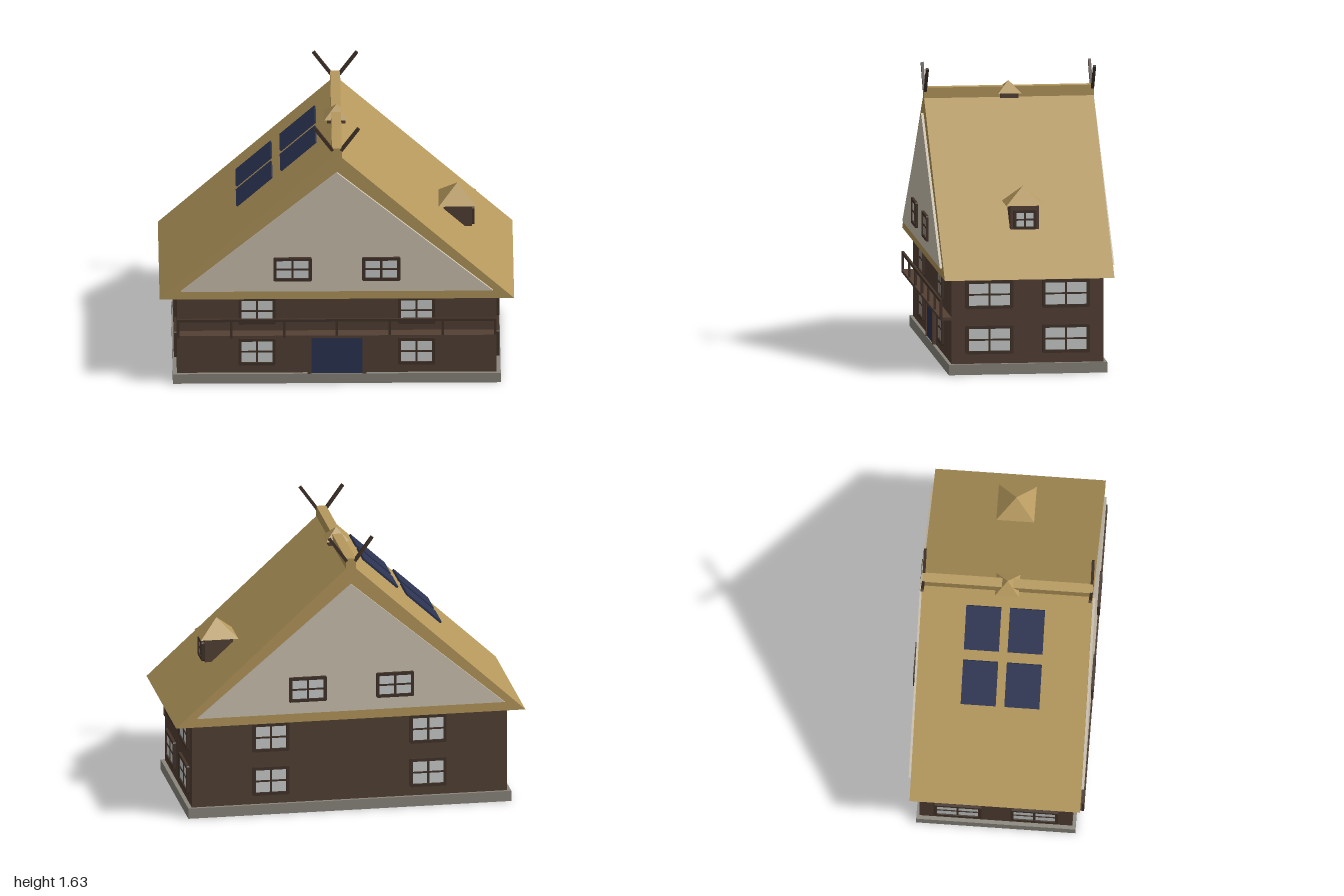
import * as THREE from 'three';

const mat = (name, color) => {
  const m = new THREE.MeshStandardMaterial({ color });
  m.name = name;
  return m;
};

export function createModel() {
  const thatch = mat('thatch', 0xb5985c);
  const wood = mat('wall wood', 0x544135);
  const trim = mat('dark trim', 0x43342a);
  const plaster = mat('gable plaster', 0xcfc5b2);
  const stone = mat('foundation stone', 0x8b877d);
  const glass = mat('window glass', 0xcdd0ce);
  const blue = mat('dark blue', 0x2c3453);

  const house = new THREE.Group();
  house.name = 'house';

  const add = (parent, name, geo, material, x = 0, y = 0, z = 0) => {
    const mesh = new THREE.Mesh(geo, material);
    mesh.name = name;
    mesh.position.set(x, y, z);
    parent.add(mesh);
    return mesh;
  };
  const box = (parent, name, material, w, h, d, x, y, z) =>
    add(parent, name, new THREE.BoxGeometry(w, h, d), material, x, y, z);

  // Triangular prism centred on z = 0
  const prism = (halfWidth, bottom, top, depth) => {
    const s = new THREE.Shape();
    s.moveTo(-halfWidth, bottom);
    s.lineTo(halfWidth, bottom);
    s.lineTo(0, top);
    s.closePath();
    return new THREE.ExtrudeGeometry(s, { depth, bevelEnabled: false }).translate(0, 0, -depth / 2);
  };

  // Faceted square pyramid standing on y = 0
  const pyramid = (half, height) => {
    const g = new THREE.ConeGeometry(half * Math.SQRT2, height, 4)
      .rotateY(Math.PI / 4).translate(0, height / 2, 0).toNonIndexed();
    g.computeVertexNormals();
    return g;
  };

  // Framed window with four panes; its back lies on the wall, facing angle ry
  const addWindow = (name, w, h, x, y, z, ry, b = 0.018) => {
    const g = new THREE.Group();
    g.name = name;
    const d = 0.016;
    const s = new THREE.Shape();
    const c = 0.006;
    s.moveTo(-w / 2 + c, -h / 2);
    s.lineTo(w / 2 - c, -h / 2);
    s.lineTo(w / 2, -h / 2 + c);
    s.lineTo(w / 2, h / 2 - c);
    s.lineTo(w / 2 - c, h / 2);
    s.lineTo(-w / 2 + c, h / 2);
    s.lineTo(-w / 2, h / 2 - c);
    s.lineTo(-w / 2, -h / 2 + c);
    s.closePath();
    const iw = w / 2 - b, ih = h / 2 - b;
    const hole = new THREE.Path();
    hole.moveTo(-iw, -ih);
    hole.lineTo(-iw, ih);
    hole.lineTo(iw, ih);
    hole.lineTo(iw, -ih);
    hole.closePath();
    s.holes.push(hole);
    add(g, 'windowFrame', new THREE.ExtrudeGeometry(s, { depth: d, bevelEnabled: false }), trim);
    box(g, 'windowPane', glass, iw * 2, ih * 2, 0.008, 0, 0, 0.004);
    box(g, 'verticalBar', trim, 0.012, ih * 2, 0.012, 0, 0, 0.006);
    box(g, 'horizontalBar', trim, iw * 2, 0.01, 0.012, 0, 0, 0.006);
    g.position.set(x, y, z);
    g.rotation.y = ry;
    house.add(g);
  };

  // Main body
  box(house, 'foundation', stone, 1.85, 0.06, 0.9, 0, 0.03, 0);
  box(house, 'walls', wood, 1.804, 0.5, 0.864, 0, 0.31, 0);
  add(house, 'roof', prism(1, 0.55, 1.47, 0.964), thatch);
  box(house, 'ridgeCap', thatch, 0.056, 0.09, 0.964, 0, 1.459, 0);
  add(house, 'gablePanels', prism(0.88, 0.605, 1.355, 0.992), plaster);

  // Windows on all four walls and both gables
  for (const side of [1, -1]) {
    const face = side > 0 ? 0 : Math.PI;
    for (const k of [-1, 1]) {
      for (const y of [0.197, 0.455]) {
        addWindow('facadeWindow', 0.21, 0.168, k * 0.45, y, side * 0.432, face);
        addWindow('sideWindow', 0.27, 0.162, side * 0.902, y, k * 0.217, side * Math.PI / 2);
      }
      addWindow('gableWindow', 0.216, 0.146, k * 0.25, 0.749, side * 0.494, face);
    }
  }

  // Front door and its frame
  box(house, 'door', blue, 0.288, 0.23, 0.014, 0, 0.175, 0.437);
  for (const k of [-1, 1]) {
    box(house, 'doorPost', wood, 0.022, 0.25, 0.02, k * 0.155, 0.185, 0.441);
  }
  box(house, 'doorLintel', wood, 0.332, 0.022, 0.02, 0, 0.3, 0.441);

  // Balcony
  const balcony = new THREE.Group();
  balcony.name = 'balcony';
  house.add(balcony);
  box(balcony, 'balconyFloor', wood, 1.8, 0.016, 0.068, 0, 0.318, 0.464);
  box(balcony, 'topRail', trim, 1.8, 0.016, 0.014, 0, 0.421, 0.491);
  for (let i = -3; i <= 3; i++) {
    box(balcony, 'railPost', trim, 0.014, 0.12, 0.014, i * 0.298, 0.37, 0.491);
  }

  // Crossed gable poles
  for (const z of [-0.475, 0.475]) {
    for (const k of [-1, 1]) {
      const pole = box(house, 'gablePole', trim, 0.018, 0.17, 0.016, k * 0.073, 1.556, z);
      pole.rotation.z = -k * 0.62;
    }
  }

  // Small ridge turret
  box(house, 'turretBase', wood, 0.104, 0.03, 0.104, 0, 1.455, 0);
  add(house, 'turretRoof', pyramid(0.067, 0.067), thatch, 0, 1.468, 0);

  // Dormer on the left slope
  box(house, 'dormerBody', wood, 0.16, 0.142, 0.16, 0.685, 0.871, 0);
  add(house, 'dormerRoof', pyramid(0.107, 0.1), thatch, 0.685, 0.938, 0);
  addWindow('dormerWindow', 0.13, 0.11, 0.765, 0.857, 0, Math.PI / 2, 0.016);

  // Solar panels raised above the right slope
  for (const [x, y] of [[-0.215, 1.32], [-0.463, 1.098]]) {
    for (const z of [-0.126, 0.121]) {
      const panel = box(house, 'solarPanel', blue, 0.268, 0.012, 0.198, x, y, z);
      panel.rotation.z = 0.742;
    }
  }

  return house;
}
